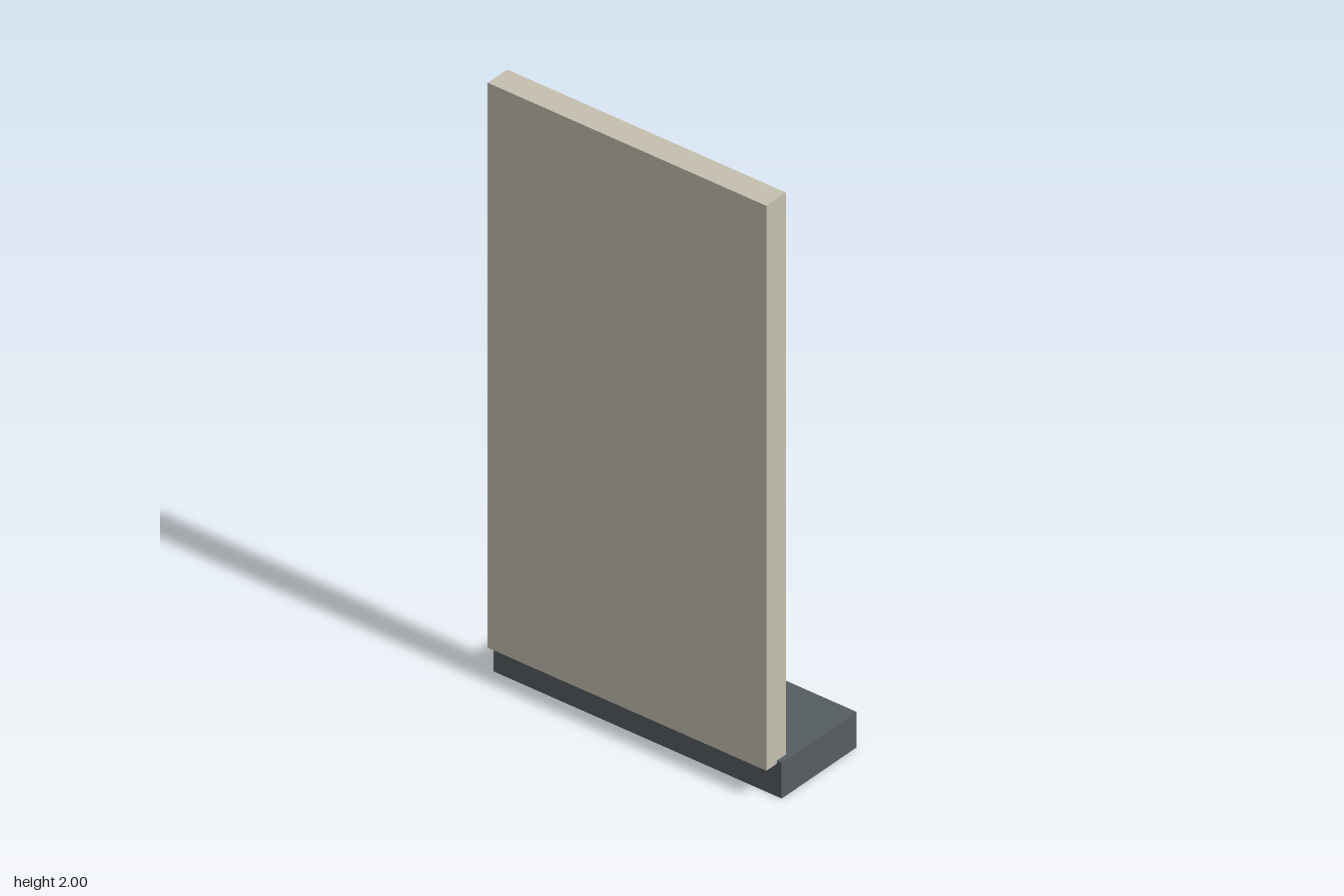
import * as THREE from 'three';

// Box given by its min and max extent along each axis
function slab(name, color, [x0, x1], [y0, y1], [z0, z1]) {
  const mesh = new THREE.Mesh(
    new THREE.BoxGeometry(x1 - x0, y1 - y0, z1 - z0),
    new THREE.MeshStandardMaterial({ color })
  );
  mesh.position.set((x0 + x1) / 2, (y0 + y1) / 2, (z0 + z1) / 2);
  mesh.name = name;
  return mesh;
}

export function createModel() {
  const model = new THREE.Group();
  model.name = 'doorway';

  // Surround, door leaf, transom pane and doorstep; the door faces +x
  model.add(
    slab('doorSurround', 0xc5bfb0, [-0.19, -0.103], [0.11, 2], [-0.5, 0.5]),
    slab('doorLeaf', 0x3d2d28, [-0.12, -0.097], [0.11, 1.82], [-0.388, 0.388]),
    slab('transomPane', 0xd0bc8c, [-0.11, -0.089], [1.58, 1.835], [-0.352, 0.352]),
    slab('doorstep', 0x565d61, [-0.143, 0.19], [0, 0.12], [-0.517, 0.517])
  );

  // Small round knob
  const knob = new THREE.Mesh(
    new THREE.SphereGeometry(0.022, 10, 8),
    new THREE.MeshStandardMaterial({ color: 0xcccccc })
  );
  knob.position.set(-0.09, 0.93, 0.283);
  knob.name = 'doorKnob';
  model.add(knob);

  return model;
}
